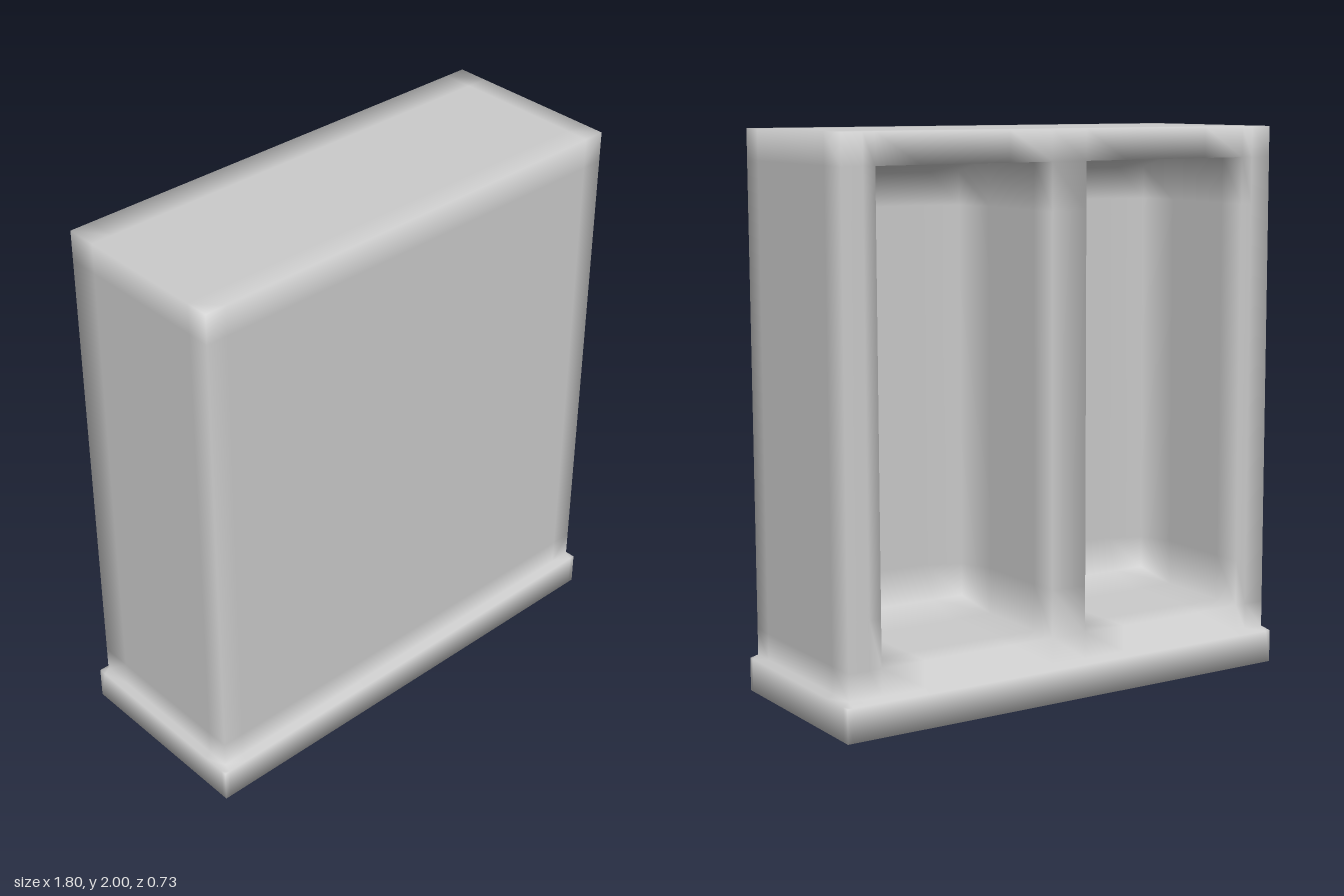
import * as THREE from 'three';

// Grid lines of the cabinet: walls, plinth, and support loops that soften the shading
const half = [0.07, 0.24, 0.585, 0.755, 0.8, 0.88, 0.9];
const xs = [...half.map((v) => -v).reverse(), ...half];
const ys = [0, 0.12, 0.23, 0.4, 1.72, 1.89, 2];
const zs = [-0.365, -0.335, -0.22, 0.07, 0.24, 0.26, 0.345, 0.365];
const axes = [xs, ys, zs];

// The two pockets open to the back
const pocket = { x0: 0.07, x1: 0.755, y0: 0.23, y1: 1.89, z: 0.24 };
const FILLET = 0.05;

// Is the grid cell filled? Plinth, plus a body without the pockets
function solid(cell) {
  if (cell.some((n, a) => n < 0 || n >= axes[a].length - 1)) return false;
  const [x, y, z] = cell.map((n, a) => (axes[a][n] + axes[a][n + 1]) / 2);
  if (y < 0.12) return true;
  const ax = Math.abs(x);
  if (ax > 0.88 || z < -0.335 || z > 0.345) return false;
  return !(ax > pocket.x0 && ax < pocket.x1 && y > pocket.y0 && y < pocket.y1 && z < pocket.z);
}

// Grid corner to final position
function place(corner) {
  let [x, y, z] = corner.map((n, a) => axes[a][n]);
  const ax = Math.abs(x);
  // rounded inner edges around the pocket floor
  const inPocket = ax >= pocket.x0 && ax <= pocket.x1 && y >= pocket.y0 && y <= pocket.y1;
  if (z === pocket.z && inPocket) {
    const dx = (ax === pocket.x0) - (ax === pocket.x1);
    const dy = (y === pocket.y0) - (y === pocket.y1);
    x += Math.sign(x) * dx * FILLET;
    y += dy * FILLET;
    if (dx || dy) z -= FILLET;
  }
  // sloped top of the plinth
  if (y === 0.12 && ax <= 0.88 && z >= -0.335 && z <= 0.345) y = 0.135;
  // very slight lean of the body
  if (y > 0.12) z += 0.004 * (y - 1);
  return [x, y, z];
}

// One welded skin around all filled cells, normals averaged evenly between faces
function createSkin() {
  const positions = [], normals = [], index = [], known = new Map();

  function vertex(corner) {
    const key = corner.join();
    if (!known.has(key)) {
      known.set(key, positions.length / 3);
      positions.push(...place(corner));
      normals.push(0, 0, 0);
    }
    return known.get(key);
  }

  function addFace(cell, axis, side) {
    const u = (axis + 1) % 3, v = (axis + 2) % 3;
    const [a, b, c, d] = [[0, 0], [1, 0], [1, 1], [0, 1]].map(([du, dv]) => {
      const corner = [...cell];
      corner[axis] += side > 0 ? 1 : 0;
      corner[u] += du;
      corner[v] += dv;
      const n = vertex(corner);
      normals[n * 3 + axis] += side;
      return n;
    });
    if (side > 0) index.push(a, b, c, a, c, d);
    else index.push(a, c, b, a, d, c);
  }

  for (let i = 0; i < xs.length - 1; i++)
    for (let j = 0; j < ys.length - 1; j++)
      for (let k = 0; k < zs.length - 1; k++) {
        const cell = [i, j, k];
        if (!solid(cell)) continue;
        for (let axis = 0; axis < 3; axis++)
          for (const side of [-1, 1]) {
            const next = [...cell];
            next[axis] += side;
            if (!solid(next)) addFace(cell, axis, side);
          }
      }

  const geometry = new THREE.BufferGeometry();
  geometry.setAttribute('position', new THREE.Float32BufferAttribute(positions, 3));
  geometry.setAttribute('normal', new THREE.Float32BufferAttribute(normals, 3));
  geometry.setIndex(index);
  geometry.normalizeNormals();
  return geometry;
}

export function createModel() {
  const group = new THREE.Group();
  group.name = 'cabinet';
  const material = new THREE.MeshStandardMaterial({ color: 0xcccccc });
  const shell = new THREE.Mesh(createSkin(), material);
  shell.name = 'cabinetShell';
  group.add(shell);
  return group;
}
